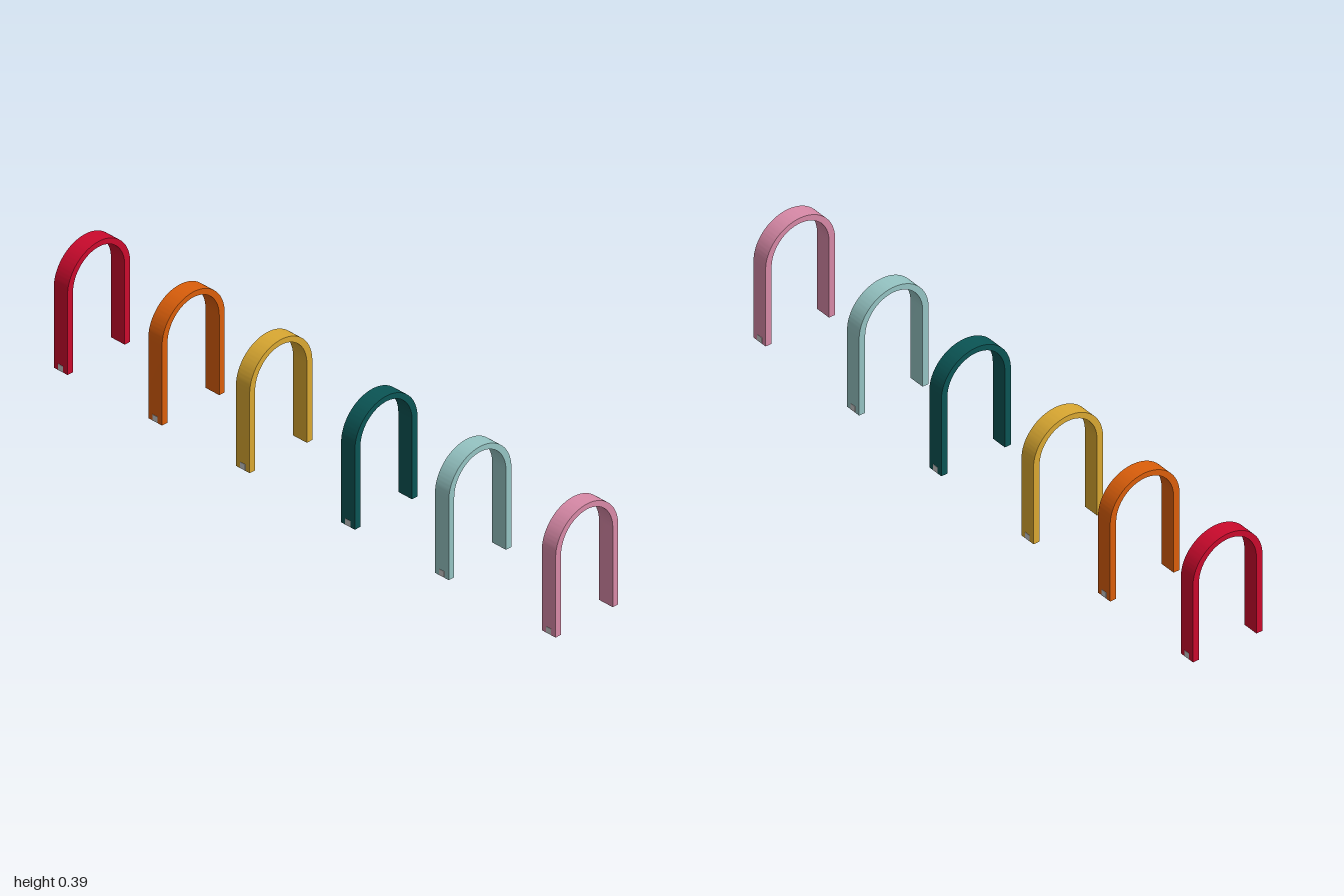
import * as THREE from 'three';
import { toCreasedNormals } from 'three/addons/utils/BufferGeometryUtils.js';

const OUTER = 0.124, INNER = 0.1025, SPRING = 0.265, INNER_RISE = 0.106, DEPTH = 0.055;

// Upright band: two straight legs joined by a half-round top
function archGeometry() {
  const s = new THREE.Shape();
  s.moveTo(-INNER, 0);
  s.lineTo(-OUTER, 0);
  s.lineTo(-OUTER, SPRING);
  s.absarc(0, SPRING, OUTER, Math.PI, 0, true);
  s.lineTo(OUTER, 0);
  s.lineTo(INNER, 0);
  s.lineTo(INNER, SPRING);
  s.absellipse(0, SPRING, INNER, INNER_RISE, 0, Math.PI, false);
  s.closePath();
  const g = new THREE.ExtrudeGeometry(s, { depth: DEPTH, bevelEnabled: false, curveSegments: 32 });
  g.translate(0, 0, -DEPTH / 2);
  return toCreasedNormals(g, 0.6);
}

export function createModel() {
  const model = new THREE.Group();
  model.name = 'archRow';
  const arch = archGeometry();
  const tag = new THREE.BoxGeometry(0.002, 0.02, 0.02);
  const tagMaterial = new THREE.MeshStandardMaterial({ color: 0xcccccc });

  // Colour, sideways offset and position along the row
  const hoops = [
    ['pink', 0xd98aa8, -0.001, 0.9725],
    ['paleTeal', 0x96c5c4, -0.001, 0.547],
    ['darkTeal', 0x0b5555, -0.001, 0.173],
    ['yellow', 0xdba932, -0.001, -0.246],
    ['orange', 0xdc5f0b, 0.001, -0.597],
    ['red', 0xcc0a2d, 0, -0.9725],
  ];
  for (const [name, color, x, z] of hoops) {
    const hoop = new THREE.Group();
    hoop.name = name + 'Hoop';
    hoop.position.set(x, 0, z);
    const band = new THREE.Mesh(arch, new THREE.MeshStandardMaterial({ color }));
    band.name = name + 'Arch';
    hoop.add(band);
    // Small square plates at the foot of each leg, on the outside
    for (const side of [-1, 1]) {
      const plate = new THREE.Mesh(tag, tagMaterial);
      plate.name = side > 0 ? 'leftFootPlate' : 'rightFootPlate';
      plate.position.set(side * OUTER, 0.011, 0);
      hoop.add(plate);
    }
    model.add(hoop);
  }
  return model;
}
